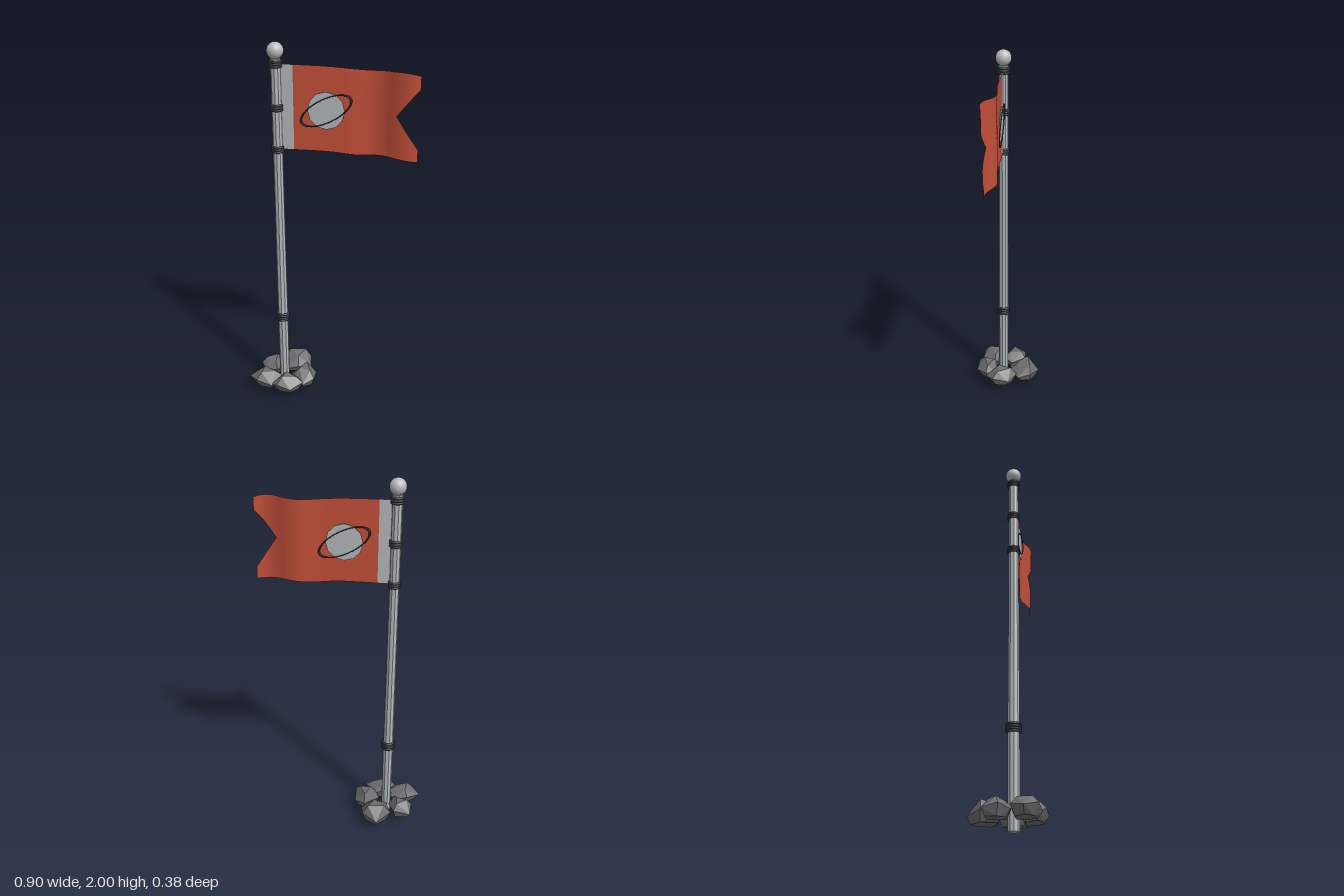
import * as THREE from 'three';
import { ConvexGeometry } from 'three/addons/geometries/ConvexGeometry.js';

const PX = -0.26, PZ = 0.03; // pole axis

export function createModel() {
  const material = (name, color, extra = {}) => {
    const m = new THREE.MeshStandardMaterial({ color, ...extra });
    m.name = name;
    return m;
  };
  const metal = material('pale metal', 0xb2b8bc, { flatShading: true });
  const smoothMetal = material('polished metal', 0xb8bbbd);
  const dark = material('dark bands', 0x30353d);
  const red = material('red cloth', 0xc44f39, { side: THREE.DoubleSide });
  const white = material('pale cloth', 0xb4b8bb, { side: THREE.DoubleSide });
  const stone = material('grey stone', 0x6e6e70, { flatShading: true });

  const model = new THREE.Group();
  const add = (name, geometry, mat, x = 0, y = 0, z = 0, parent = model) => {
    const mesh = new THREE.Mesh(geometry, mat);
    mesh.name = name;
    mesh.position.set(x, y, z);
    parent.add(mesh);
    return mesh;
  };

  // Faceted, gently tapering pole
  const profile = [[0, 0], [0.028, 0], [0.029, 0.48], [0.027, 1], [0.026, 1.46], [0.026, 1.92], [0, 1.92]];
  add('pole', new THREE.LatheGeometry(profile.map(p => new THREE.Vector2(...p)), 9), metal, PX, 0, PZ);
  add('finial', new THREE.SphereGeometry(0.042, 24, 16), smoothMetal, PX, 1.958, PZ);

  // Stacked bands wound around the pole: [height, count, radius]
  for (const [y, count, radius] of [[0.48, 4, 0.032], [1.465, 3, 0.027], [1.68, 3, 0.027], [1.895, 3, 0.027]]) {
    const wrap = new THREE.Group();
    wrap.name = 'poleBands';
    for (let i = 0; i < count; i++) {
      const band = add('band', new THREE.TorusGeometry(radius, 0.0065, 8, 20), dark,
        PX, y + (i - (count - 1) / 2) * 0.012, PZ, wrap);
      band.rotation.x = Math.PI / 2;
    }
    model.add(wrap);
  }

  // Cloth ripple, as depth and edge heights along x
  const spline = pts => {
    const curve = new THREE.SplineCurve(pts.map(p => new THREE.Vector2(...p)));
    const samples = curve.getPoints(100);
    return x => {
      let i = 1;
      while (i < 100 && samples[i].x < x) i++;
      const a = samples[i - 1], b = samples[i];
      return a.y + (b.y - a.y) * THREE.MathUtils.clamp((x - a.x) / (b.x - a.x), 0, 1);
    };
  };
  const depth = spline([[-0.25, 0.03], [-0.1, 0.028], [0.08, 0.025], [0.15, 0.018], [0.22, 0.01],
    [0.28, 0.02], [0.34, 0.048], [0.4, 0.06], [0.45, 0.049]]);
  const topEdge = spline([[-0.25, 1.895], [0, 1.892], [0.2, 1.88], [0.37, 1.884], [0.45, 1.87]]);
  const bottomEdge = spline([[-0.25, 1.465], [0, 1.466], [0.15, 1.455], [0.3, 1.458], [0.45, 1.445]]);

  const cloth = (x0, endAt, columns) => {
    const g = new THREE.PlaneGeometry(1, 1, columns, 20);
    const p = g.attributes.position;
    for (let i = 0; i < p.count; i++) {
      const u = p.getX(i) + 0.5, v = p.getY(i) + 0.5;
      const x = x0 + u * (endAt(v) - x0);
      const lean = (v - 0.5) * 0.012 * THREE.MathUtils.smoothstep(x, 0.1, 0.45);
      p.setXYZ(i, x, THREE.MathUtils.lerp(bottomEdge(x), topEdge(x), v), depth(x) + lean);
    }
    g.computeVertexNormals();
    return g;
  };
  // Swallowtail end, with short straight tips
  const tail = v => 0.45 - 0.11 * Math.max(0, 1 - Math.abs(2 * v - 1) / 0.7);
  add('flagCloth', cloth(-0.175, tail, 30), red);
  add('flagHoistStrip', cloth(-0.24, () => -0.175, 3), white);

  // Ringed planet on each face of the flag
  for (const side of [0, 1]) {
    const emblem = new THREE.Group();
    emblem.name = side ? 'backEmblem' : 'frontEmblem';
    const disc = add('planetDisc', new THREE.CylinderGeometry(0.094, 0.094, 0.004, 12), white, 0, 0, 0.011, emblem);
    disc.rotation.x = Math.PI / 2;
    const ring = add('planetRing', new THREE.TorusGeometry(0.139, 0.006, 6, 40), dark, 0, 0, 0.0155, emblem);
    ring.scale.set(1, 0.41, 0.5);
    ring.rotation.z = 0.49;
    emblem.position.set(-0.008, 1.677, 0.026);
    emblem.rotation.y = side * Math.PI;
    model.add(emblem);
  }

  // Boulders: plan outline (x, z), height, and where the crown sits
  const rocks = [
    { top: 0.152, crown: [-0.21, -0.125], outline: [[-0.225, -0.19], [-0.14, -0.145], [-0.125, -0.07], [-0.19, -0.02], [-0.265, -0.01], [-0.3, -0.115]] },
    { top: 0.135, crown: [-0.35, -0.045], outline: [[-0.41, -0.095], [-0.315, -0.1], [-0.28, -0.02], [-0.305, 0.03], [-0.37, 0.03], [-0.413, -0.02]] },
    { top: 0.134, crown: [-0.35, 0.09], outline: [[-0.455, 0.095], [-0.385, 0.03], [-0.3, 0.03], [-0.26, 0.08], [-0.305, 0.165], [-0.395, 0.155]] },
    { top: 0.136, crown: [-0.215, 0.11], outline: [[-0.31, 0.15], [-0.25, 0.07], [-0.165, 0.06], [-0.13, 0.125], [-0.19, 0.186], [-0.27, 0.18]] },
    { top: 0.142, crown: [-0.135, 0.02], outline: [[-0.218, 0.03], [-0.14, -0.06], [-0.08, -0.015], [-0.074, 0.08], [-0.13, 0.125], [-0.19, 0.07]] },
  ];
  const base = 0.045;
  for (const { top, crown, outline } of rocks) {
    const points = [];
    outline.forEach(([x, z], i) => {
      const toCrown = t => [x + (crown[0] - x) * t, z + (crown[1] - z) * t];
      const [bx, bz] = toCrown(0.3);
      points.push(new THREE.Vector3(x, i % 2 ? 0.1 : 0.08, z), new THREE.Vector3(bx, base, bz));
      if (i % 2) {
        const [tx, tz] = toCrown(0.45);
        points.push(new THREE.Vector3(tx, top - (i === 3 ? 0.008 : 0), tz));
      }
    });
    add('boulder', new ConvexGeometry(points), stone);
  }
  return model;
}
